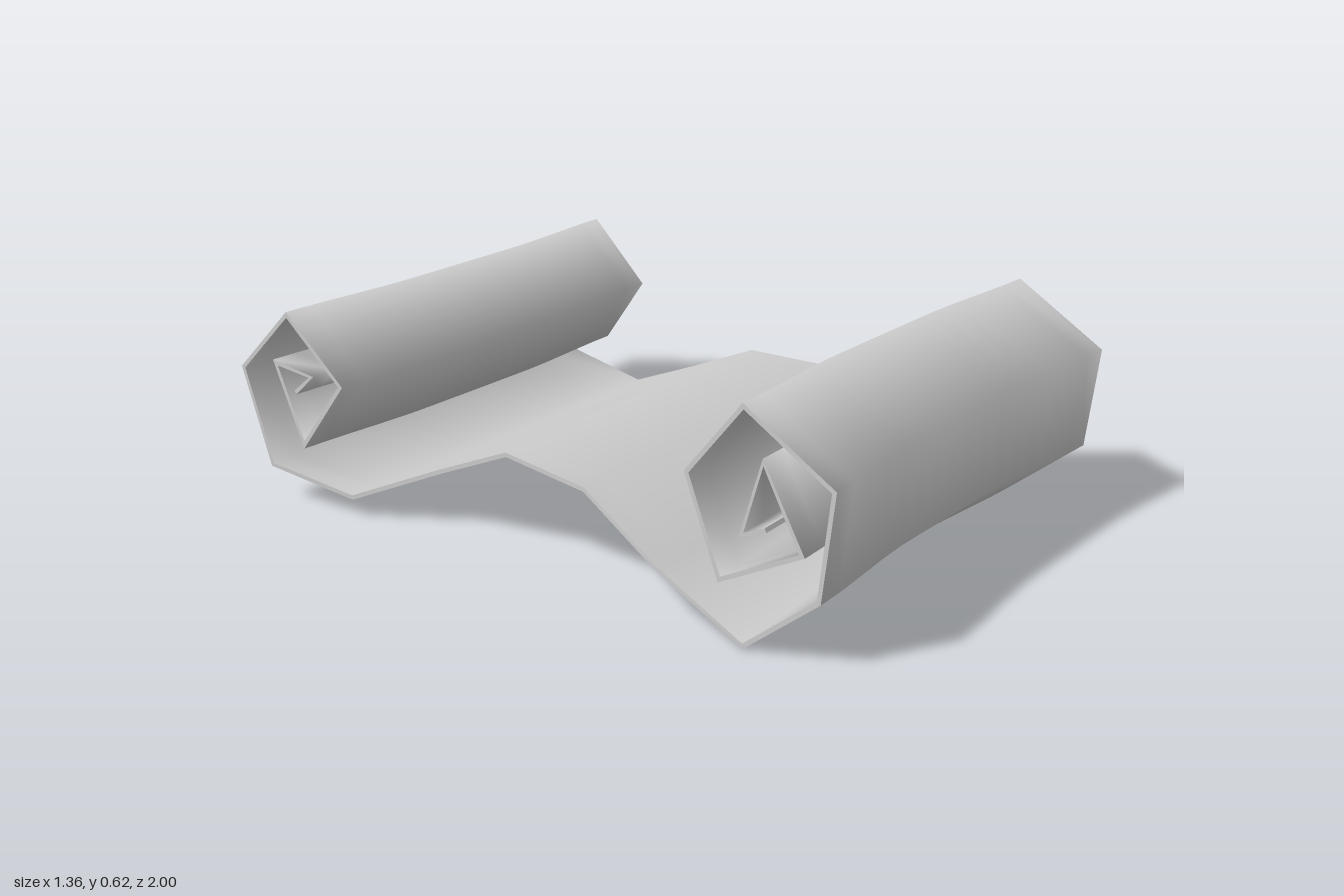
import * as THREE from 'three';

const HALF = 0.006; // half the thickness of the parchment

// Profile rows [z, y, left edge, right edge], from the front curl's core to the back curl's core
const W = 0.68;
const ROWS = [
  // front curl, inside to outside
  [0.805, 0.325, W, W], [0.735, 0.297, W, W], [0.795, 0.493, W, W], [0.908, 0.285, W, W],
  [0.672, 0.165, W, W], [0.573, 0.42, W, W], [0.737, 0.619, W, W], [0.992, 0.463, W, W],
  [0.957, 0.18, W, W], [0.743, 0.009, W, W],
  // open sheet with worn side edges
  [0.475, 0.138, 0.67, 0.67], [0.205, 0.268, 0.62, 0.61], [-0.075, 0.294, 0.60, 0.53],
  [-0.35, 0.172, 0.56, 0.59], [-0.612, 0.06, 0.645, 0.655],
  // back curl, outside to inside
  [-0.893, 0.106, W, W], [-0.99, 0.38, W, W], [-0.80, 0.566, W, W], [-0.612, 0.39, 0.67, 0.67],
  [-0.757, 0.195, W, W], [-0.855, 0.418, W, W], [-0.715, 0.402, W, W], [-0.78, 0.345, W, W],
];

// Mitred normal of the profile, pointing to the inner (upper) face
function profileNormal(i) {
  const dir = (a, b) => new THREE.Vector2(b[1] - a[1], a[0] - b[0]).normalize();
  const p = ROWS[i - 1], q = ROWS[i], r = ROWS[i + 1];
  const n0 = dir(p ?? q, p ? q : r), n1 = dir(r ? q : p, r ?? q);
  const sum = n0.clone().add(n1);
  return sum.multiplyScalar(1 / Math.max(0.5, 1 + n0.dot(n1)));
}

// Point on the sheet: row i, across c = -1..1, side +1 inner or -1 outer
function sheetPoint(i, c, side) {
  const [z, y, left, right] = ROWS[i];
  const n = profileNormal(i);
  const bow = 0.963 + 0.037 * THREE.MathUtils.smoothstep(Math.abs(c), 0.3, 1.05) / 0.987;
  const x = THREE.MathUtils.lerp(-left, right, (c + 1) / 2);
  return [x, y + n.y * HALF * side, (z + n.x * HALF * side) * bow];
}

// Smooth surface from a grid of points
function gridMesh(name, rows, cols, point, material) {
  const positions = [], index = [];
  for (let i = 0; i < rows; i++) for (let j = 0; j < cols; j++) positions.push(...point(i, j));
  for (let i = 0; i < rows - 1; i++) {
    for (let j = 0; j < cols - 1; j++) {
      const a = i * cols + j, c = a + cols;
      index.push(a, a + 1, c, a + 1, c + 1, c);
    }
  }
  const geometry = new THREE.BufferGeometry();
  geometry.setAttribute('position', new THREE.Float32BufferAttribute(positions, 3));
  geometry.setIndex(index);
  geometry.computeVertexNormals();
  const mesh = new THREE.Mesh(geometry, material);
  mesh.name = name;
  return mesh;
}

export function createModel() {
  const scroll = new THREE.Group();
  scroll.name = 'scroll';
  const material = new THREE.MeshStandardMaterial({ color: 0xcccccc, side: THREE.DoubleSide });
  const n = ROWS.length, cols = 17;
  const across = (j) => -1 + (2 * j) / (cols - 1);

  // Two faces of the parchment
  scroll.add(gridMesh('innerFace', n, cols, (i, j) => sheetPoint(i, across(j), 1), material));
  scroll.add(gridMesh('outerFace', n, cols, (i, j) => sheetPoint(i, -across(j), -1), material));

  // Thin rims along both sides
  for (const s of [-1, 1]) {
    scroll.add(gridMesh(s > 0 ? 'leftRim' : 'rightRim', n, 2,
      (i, j) => sheetPoint(i, s, j ? -s : s), material));
  }

  // Thin rims at the cores of both curls
  scroll.add(gridMesh('frontCoreRim', 2, cols, (i, j) => sheetPoint(0, across(j), i ? 1 : -1), material));
  scroll.add(gridMesh('backCoreRim', 2, cols, (i, j) => sheetPoint(n - 1, across(j), i ? -1 : 1), material));

  // Stand on the ground
  const box = new THREE.Box3().setFromObject(scroll);
  scroll.position.y = -box.min.y;
  return scroll;
}
